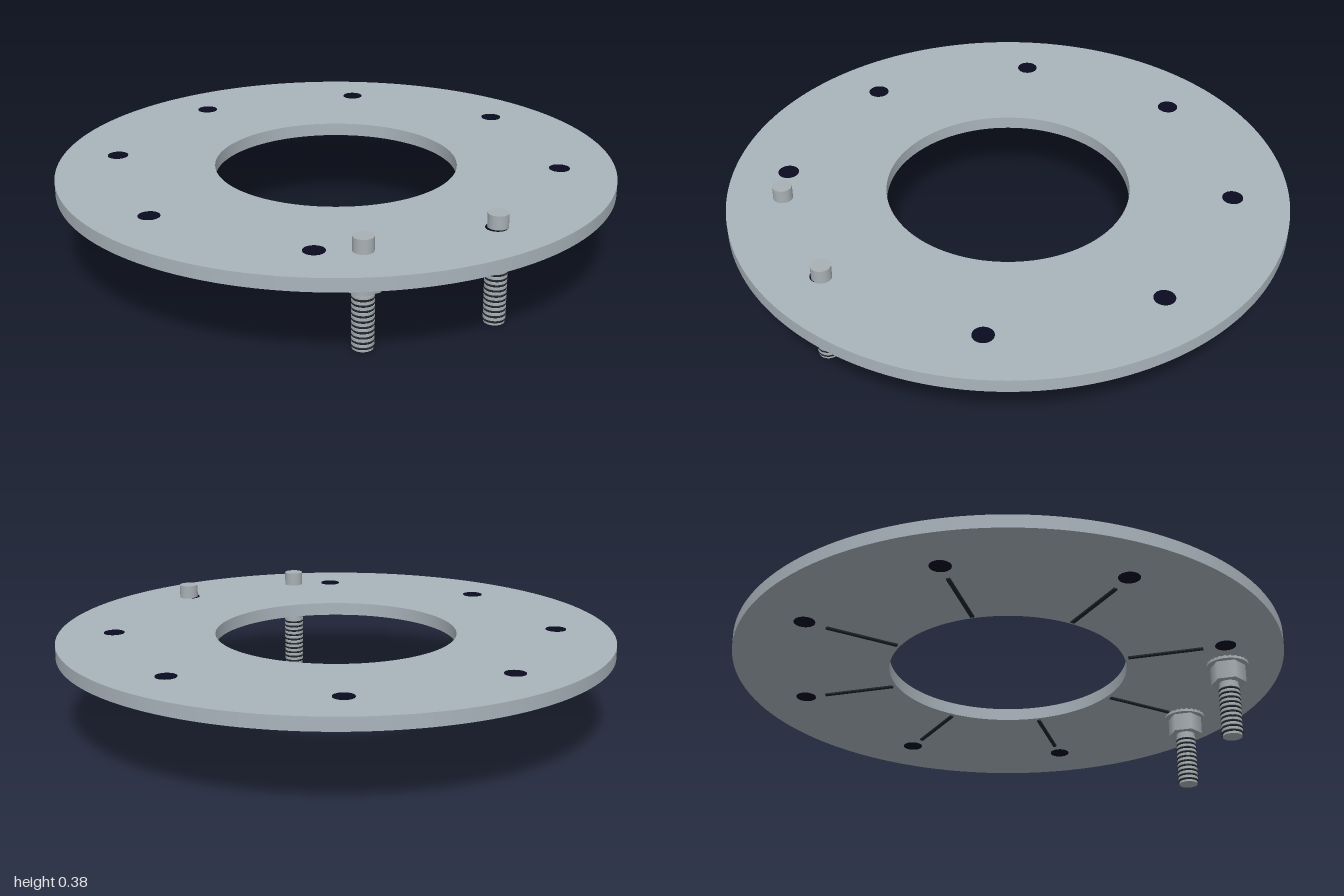
import * as THREE from 'three';

const plateSteel = new THREE.MeshStandardMaterial({ name: 'plateSteel', color: 0xa9b4bb });
const studSteel = new THREE.MeshStandardMaterial({ name: 'studSteel', color: 0xa8b0b4 });
const holeDark = new THREE.MeshStandardMaterial({ name: 'holeDark', color: 0x0a0a20 });
const grooveDark = new THREE.MeshStandardMaterial({ name: 'grooveDark', color: 0x20262c });

const PLATE_BOTTOM = 0.288, PLATE_TOP = 0.335;

function add(parent, name, geometry, material, x = 0, y = 0, z = 0) {
  const mesh = new THREE.Mesh(geometry, material);
  mesh.name = name;
  mesh.position.set(x, y, z);
  parent.add(mesh);
  return mesh;
}

// Cylinder standing between two heights
function rod(parent, name, radius, y0, y1, material, sides = 32) {
  return add(parent, name, new THREE.CylinderGeometry(radius, radius, y1 - y0, sides), material, 0, (y0 + y1) / 2, 0);
}

// Threaded stud with a flanged hex nut under the plate
function makeStud(x, z) {
  const stud = new THREE.Group();
  stud.name = 'stud';
  stud.position.set(x, 0, z);
  rod(stud, 'shank', 0.035, 0, 0.385, studSteel);
  rod(stud, 'hexNut', 0.064, 0.208, 0.278, studSteel, 6);
  rod(stud, 'nutFlange', 0.076, 0.276, 0.285, studSteel);
  // Serrations biting into the plate
  const teeth = 24;
  for (let i = 0; i < teeth; i++) {
    const a = (i / teeth) * Math.PI * 2;
    const tooth = add(stud, 'serration', new THREE.BoxGeometry(0.018, 0.004, 0.007), studSteel,
      Math.cos(a) * 0.066, 0.2865, Math.sin(a) * 0.066);
    tooth.rotation.y = -a;
  }
  // Thread ridges
  for (let i = 0; i < 10; i++) {
    const ridge = add(stud, 'threadRidge', new THREE.TorusGeometry(0.0345, 0.0042, 6, 32), grooveDark, 0, 0.012 + i * 0.0185, 0);
    ridge.rotation.x = Math.PI / 2;
    rod(stud, 'threadCrest', 0.0375, 0.0165 + i * 0.0185, 0.026 + i * 0.0185, studSteel);
  }
  return stud;
}

export function createModel() {
  const model = new THREE.Group();
  model.name = 'flangePlate';

  // Flat ring
  const ring = new THREE.Shape().absarc(0, 0, 1, 0, Math.PI * 2, false);
  ring.holes.push(new THREE.Path().absarc(0, 0, 0.435, 0, Math.PI * 2, true));
  const ringGeometry = new THREE.ExtrudeGeometry(ring, {
    depth: PLATE_TOP - PLATE_BOTTOM, bevelEnabled: false, curveSegments: 96,
  });
  ringGeometry.rotateX(-Math.PI / 2);
  add(model, 'ringPlate', ringGeometry, plateSteel, 0, PLATE_BOTTOM, 0);

  // Bolt holes, each with a radial groove on the underside
  for (let i = 0; i < 8; i++) {
    const sector = new THREE.Group();
    sector.name = 'boltSector';
    sector.rotation.y = (i * Math.PI) / 4;
    const hole = rod(sector, 'boltHole', 0.037, PLATE_BOTTOM - 0.002, PLATE_TOP + 0.002, holeDark);
    hole.position.x = 0.8;
    add(sector, 'radialGroove', new THREE.BoxGeometry(0.27, 0.007, 0.014), grooveDark, 0.585, PLATE_BOTTOM - 0.0025, 0);
    model.add(sector);
  }

  model.add(makeStud(0.57, 0.562), makeStud(0.152, 0.786));
  return model;
}
